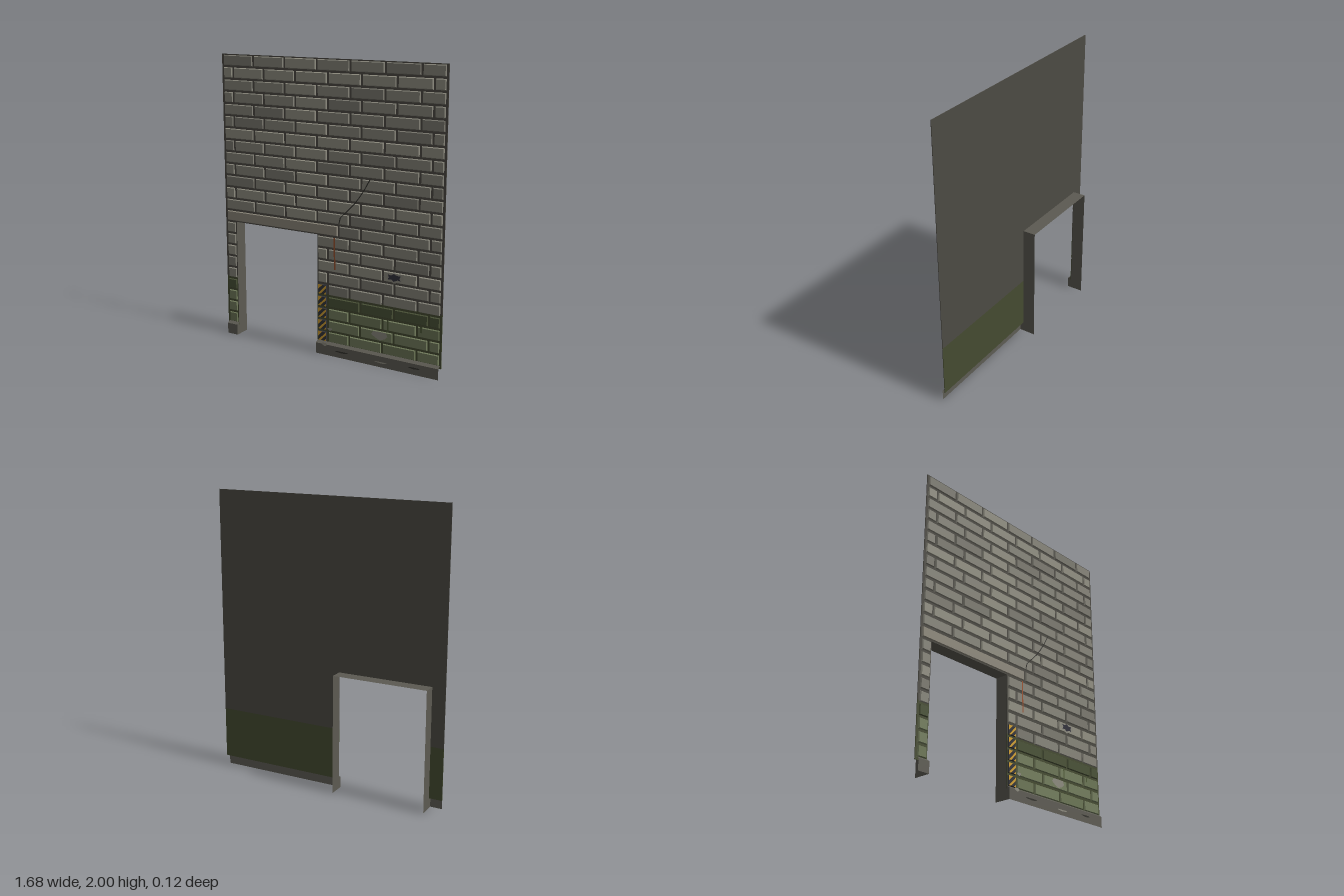
import * as THREE from 'three';
import { mergeGeometries } from 'three/addons/utils/BufferGeometryUtils.js';

const ROW = 1 / 12, LEN = 0.25;            // brick course height and brick length
const EDGE = 0.8333, WALL = 0.842;         // half widths of brickwork and backing
const DOOR_L = -0.75, DOOR_R = -0.0833, DOOR_TOP = 10 * ROW;
const BACK = 0.032, MID = 0.036, FACE = 0.044, FOOT = 0.058, REAR = -0.058;

const mat = (color, side = THREE.FrontSide) =>
  new THREE.MeshStandardMaterial({ color, side, flatShading: true, roughness: 1 });

// Box between two corners
function box(x0, x1, y0, y1, z0, z1) {
  return new THREE.BoxGeometry(x1 - x0, y1 - y0, z1 - z0)
    .translate((x0 + x1) / 2, (y0 + y1) / 2, (z0 + z1) / 2);
}

// Block whose front face is pulled in to give bevelled edges
function brick(x0, x1, y0, y1) {
  const gap = 0.006, bevel = 0.006;
  const w = x1 - x0 - 2 * gap, h = y1 - y0 - 2 * gap, d = FACE - MID + 0.002;
  const g = new THREE.BoxGeometry(w, h, d);
  const p = g.attributes.position;
  for (let i = 0; i < p.count; i++) {
    if (p.getZ(i) < 0) continue;
    p.setX(i, Math.sign(p.getX(i)) * (w / 2 - bevel));
    p.setY(i, Math.sign(p.getY(i)) * (h / 2 - bevel));
  }
  g.computeVertexNormals();
  return g.translate((x0 + x1) / 2, (y0 + y1) / 2, FACE - d / 2);
}

// Flat polygon facing forward
function patch(points, z) {
  const s = new THREE.Shape(points.map(([x, y]) => new THREE.Vector2(x, y)));
  return new THREE.ShapeGeometry(s).translate(0, 0, z);
}

// Irregular flat blotch
function blotch(cx, cy, rx, ry, z, n = 8) {
  const pts = [];
  for (let i = 0; i < n; i++) {
    const a = (i / n) * Math.PI * 2, r = 0.85 + 0.15 * Math.sin(i * 2.3);
    pts.push([cx + rx * r * Math.cos(a), cy + ry * r * Math.sin(a)]);
  }
  return patch(pts, z);
}

// Thin strip following a path
function strip(path, width, z) {
  const left = path.map(([x, y]) => [x - width / 2, y]);
  const right = path.map(([x, y]) => [x + width / 2, y]).reverse();
  return patch([...left, ...right], z);
}

export function createModel() {
  const group = new THREE.Group();
  const add = (name, geos, color, side) => {
    const m = new THREE.Mesh(mergeGeometries([geos].flat()), mat(color, side));
    m.name = name;
    group.add(m);
  };

  // Backing slab, grey above and mossy below, around the doorway
  const mossTop = 0.43;
  add('backingWall', [
    box(-WALL, WALL, DOOR_TOP, 2, BACK, MID),
    box(-WALL, DOOR_L, mossTop, DOOR_TOP, BACK, MID),
    box(DOOR_R, WALL, mossTop, DOOR_TOP, BACK, MID),
  ], 0x4c4a43);
  add('mossyBackingWall', [
    box(-WALL, DOOR_L, 0.07, mossTop, BACK, MID),
    box(DOOR_R, WALL, 0.07, mossTop, BACK, MID),
  ], 0x454b31);

  // Brick courses, sorted by shade
  const shades = { 0x87857a: [], 0x7c7a70: [], 0x918f82: [], 0x6c7656: [], 0x747e5e: [], 0x4a5237: [] };
  const stone = [0x87857a, 0x87857a, 0x7c7a70, 0x87857a, 0x918f82];
  function course(r, from, to) {
    let x = from;
    const shift = r % 2 ? 0 : ROW;
    while (x < to - 0.01) {
      const k = Math.floor((x + EDGE - shift + 0.005) / LEN) + 1;
      const end = Math.min(to, -EDGE + shift + k * LEN);
      const pick = (r * 7 + k * 3 + r * k) % 5;
      const color = r === 4 ? 0x4a5237 : r < 4 ? (pick % 2 ? 0x6c7656 : 0x747e5e) : stone[pick];
      shades[color].push(brick(x, end, r * ROW, (r + 1) * ROW));
      x = end;
    }
  }
  for (let r = 1; r < 24; r++) {
    if (r > 10) course(r, -EDGE, EDGE);
    else if (r === 10) course(r, DOOR_R + 2 * ROW, EDGE);
    else {
      course(r, -EDGE, DOOR_L);
      course(r, r < 6 ? 0 : DOOR_R, EDGE);
    }
  }
  Object.entries(shades).forEach(([c, g], i) => add('bricks' + (i + 1), g, Number(c)));

  // Lintel over the doorway
  add('lintel', brick(-EDGE, DOOR_R + 2 * ROW, DOOR_TOP, DOOR_TOP + ROW), 0x8e897c);

  // Warning blocks with diagonal bands beside the doorway
  const blocks = [], bands = [];
  for (let r = 1; r < 6; r++) {
    const x = DOOR_R + 0.009, y = r * ROW + 0.009, s = ROW - 0.018;
    blocks.push(brick(DOOR_R, 0, r * ROW, (r + 1) * ROW));
    const z = FACE + 0.001;
    bands.push(patch([[x, y], [x + s * 0.3, y], [x + s, y + s * 0.7], [x + s, y + s]], z));
    bands.push(patch([[x, y + s * 0.45], [x + s * 0.55, y + s], [x, y + s]], z));
    bands.push(patch([[x + s * 0.7, y], [x + s, y], [x + s, y + s * 0.3]], z));
  }
  add('warningBlocks', blocks, 0x33343a);
  add('warningBands', bands, 0xd2a032);

  // Doorway reveal: two jambs shaped to the plinth, and a soffit
  const profile = [[REAR, 0], [FOOT, 0], [FOOT, 0.075], [MID, 0.09], [MID, DOOR_TOP], [REAR, DOOR_TOP]];
  const jambs = [DOOR_L, DOOR_R].map(x =>
    patch(profile, 0).rotateY(-Math.PI / 2).translate(x, 0, 0));
  add('jambs', jambs, 0x5c5a52, THREE.DoubleSide);
  const soffit = new THREE.PlaneGeometry(DOOR_R - DOOR_L, MID - REAR).rotateX(Math.PI / 2)
    .translate((DOOR_L + DOOR_R) / 2, DOOR_TOP, (MID + REAR) / 2);
  add('soffit', soffit, 0x5c5a52, THREE.DoubleSide);

  // Plinth: upright sheet with a sloping top
  const plinth = (x0, x1) => {
    const g = new THREE.PlaneGeometry(x1 - x0, 1, 1, 2);
    const p = g.attributes.position;
    for (let i = 0; i < p.count; i++) {
      const [z, y] = profile[Math.round((p.getY(i) + 0.5) * 2) + 1];
      p.setXYZ(i, p.getX(i) + (x0 + x1) / 2, y, z);
    }
    g.computeVertexNormals();
    return g;
  };
  add('plinth', [plinth(-EDGE, DOOR_L), plinth(DOOR_R, EDGE)], 0x5e5c54, THREE.DoubleSide);

  // Stains and chips on the plinth
  add('plinthStains', [blotch(0.12, 0.042, 0.065, 0.007, FOOT + 0.001),
    blotch(0.66, 0.045, 0.05, 0.007, FOOT + 0.001)], 0x35342f);
  add('plinthChips', [blotch(0.42, 0.033, 0.055, 0.006, FOOT + 0.001),
    blotch(-0.015, 0.075, 0.025, 0.014, FOOT + 0.001)], 0x8e8c80);

  // Wear on the wall: crack, rust run, worn plaster and a hole
  const z = FACE + 0.0015;
  add('crack', strip([[0.09, 0.93], [0.1, 0.97], [0.16, 1.03], [0.2, 1.07], [0.24, 1.12], [0.28, 1.18], [0.32, 1.25]], 0.008, z), 0x33322e);
  add('rustRun', strip([[0.053, 0.83], [0.055, 0.72], [0.06, 0.61]], 0.011, z), 0x9a5230);
  add('wornPatches', [blotch(0.5, 0.625, 0.085, 0.038, z),
    blotch(0.4, 0.215, 0.07, 0.035, z), blotch(0.02, 0.185, 0.022, 0.012, z)], 0x8d8b7f);
  add('hole', patch([[0.455, 0.61], [0.48, 0.612], [0.5, 0.6], [0.525, 0.612], [0.548, 0.61],
    [0.54, 0.625], [0.548, 0.642], [0.52, 0.642], [0.5, 0.652], [0.48, 0.64], [0.455, 0.642], [0.465, 0.625]], z + 0.001), 0x33323c);
  add('mossRuns', [strip([[0.46, 0.33], [0.46, 0.25]], 0.012, z),
    strip([[0.7, 0.33], [0.7, 0.29]], 0.012, z)], 0x4f5a38);

  return group;
}
